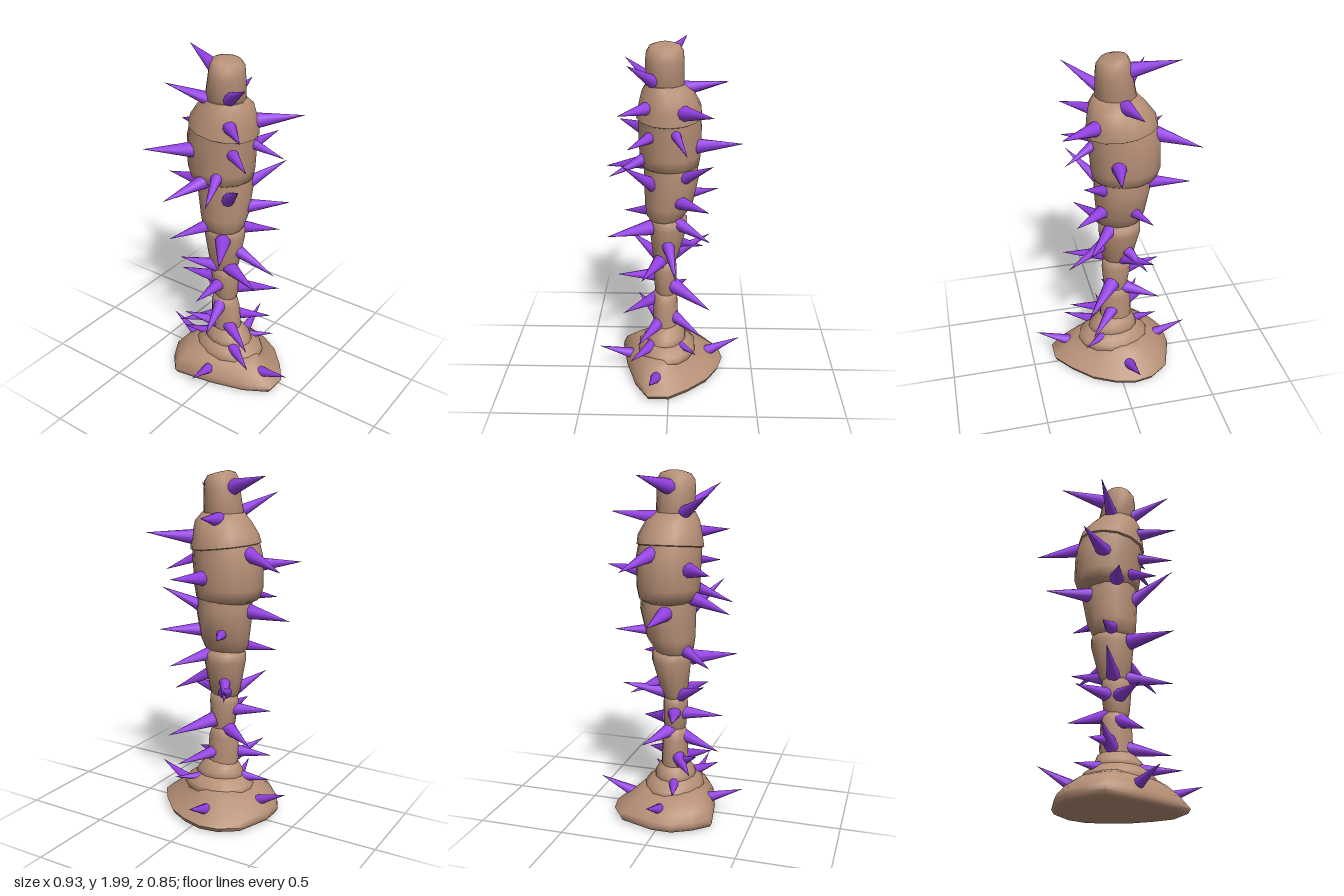
import * as THREE from 'three';
import { toCreasedNormals } from 'three/addons/utils/BufferGeometryUtils.js';

const bark = new THREE.MeshStandardMaterial({ color: 0xb68f76 });
const purple = new THREE.MeshStandardMaterial({ color: 0x9440e4 });
const SIDES = 14;

// Ring of points: [y, xMin, xMax, zMin, zMax, tilt along x]
function ellipse([y, x0, x1, z0, z1, tilt = 0]) {
  return Array.from({ length: SIDES }, (_, i) => {
    const a = (i / SIDES) * Math.PI * 2;
    const c = Math.cos(a), s = Math.sin(a);
    return [(x0 + x1) / 2 + c * (x1 - x0) / 2, y + tilt * c, (z0 + z1) / 2 + s * (z1 - z0) / 2];
  });
}

// Closed loft through rings running upwards
function loft(rings, crease) {
  const n = rings[0].length, pos = rings.flat(2), idx = [];
  for (let r = 0; r < rings.length - 1; r++) {
    for (let i = 0; i < n; i++) {
      const a = r * n + i, b = r * n + (i + 1) % n;
      idx.push(a, a + n, b, b, a + n, b + n);
    }
  }
  const cap = (start, up) => {
    const c = pos.length / 3, mid = [0, 0, 0];
    for (let i = 0; i < n; i++) for (let k = 0; k < 3; k++) mid[k] += pos[(start + i) * 3 + k] / n;
    pos.push(...mid);
    for (let i = 0; i < n; i++) {
      const a = start + i, b = start + (i + 1) % n;
      idx.push(c, ...(up ? [b, a] : [a, b]));
    }
  };
  cap(0, false);
  cap((rings.length - 1) * n, true);
  const g = new THREE.BufferGeometry();
  g.setAttribute('position', new THREE.Float32BufferAttribute(pos, 3));
  g.setIndex(idx);
  return toCreasedNormals(g, crease);
}

// Stacked trunk segments, lowest first
const segments = {
  collar: [[0.12, -0.2, 0.19, -0.13, 0.18], [0.165, -0.22, 0.215, -0.155, 0.19], [0.195, -0.21, 0.2, -0.15, 0.185], [0.22, -0.175, 0.165, -0.12, 0.165], [0.25, -0.14, 0.12, -0.08, 0.13]],
  neckRing: [[0.21, -0.14, 0.13, -0.08, 0.13], [0.235, -0.155, 0.145, -0.095, 0.145], [0.265, -0.145, 0.13, -0.09, 0.135], [0.3, -0.13, 0.1, -0.07, 0.11], [0.325, -0.1, 0.07, -0.05, 0.09]],
  trunkLowest: [[0.27, -0.11, 0.075, -0.055, 0.1], [0.34, -0.12, 0.072, -0.05, 0.1], [0.47, -0.115, 0.062, -0.045, 0.1], [0.52, -0.105, 0.045, -0.04, 0.095], [0.545, -0.08, 0.02, -0.01, 0.07]],
  trunkLower: [[0.52, -0.08, 0.04, -0.03, 0.08], [0.55, -0.095, 0.05, -0.038, 0.09], [0.68, -0.115, 0.06, -0.04, 0.1], [0.73, -0.11, 0.055, -0.035, 0.095], [0.75, -0.08, 0.02, -0.01, 0.07]],
  trunkMiddle: [[0.725, -0.11, 0.04, -0.03, 0.09], [0.75, -0.125, 0.055, -0.045, 0.1], [0.94, -0.165, 0.08, -0.1, 0.12], [0.99, -0.165, 0.08, -0.1, 0.12], [1.02, -0.13, 0.05, -0.06, 0.09]],
  trunkUpper: [[0.98, -0.14, 0.06, -0.06, 0.11], [1.01, -0.17, 0.085, -0.08, 0.135], [1.08, -0.185, 0.095, -0.13, 0.145], [1.24, -0.21, 0.11, -0.165, 0.15], [1.31, -0.2, 0.105, -0.16, 0.15]],
  head: [[1.285, -0.2, 0.08, -0.13, 0.13], [1.31, -0.25, 0.115, -0.165, 0.165], [1.37, -0.27, 0.125, -0.175, 0.175], [1.53, -0.265, 0.135, -0.18, 0.18, -0.01], [1.6, -0.24, 0.14, -0.17, 0.18, -0.02]],
  shoulder: [[1.58, -0.22, 0.125, -0.155, 0.165, -0.02], [1.595, -0.25, 0.15, -0.18, 0.19, -0.025], [1.65, -0.235, 0.145, -0.175, 0.18, -0.015], [1.73, -0.185, 0.13, -0.135, 0.16], [1.775, -0.14, 0.1, -0.08, 0.135]],
  crown: [[1.74, -0.12, 0.07, -0.07, 0.11], [1.78, -0.135, 0.09, -0.08, 0.13], [1.9, -0.11, 0.088, -0.08, 0.135], [1.95, -0.1, 0.083, -0.077, 0.13, -0.008], [1.98, -0.085, 0.065, -0.06, 0.11, -0.01], [1.99, -0.05, 0.03, -0.025, 0.075, -0.01]],
};

// Irregular foot outline, [x, z], and levels, [y, scale, x shift, z shift]
const footOutline = [[0.37, 0], [0.37, 0.12], [0.23, 0.2], [0.02, 0.26], [-0.215, 0.3], [-0.295, 0.21], [-0.355, 0.1],
  [-0.355, -0.02], [-0.285, -0.225], [-0.18, -0.3], [-0.07, -0.32], [0.05, -0.29], [0.175, -0.225], [0.29, -0.11]];
const footLevels = [[0.01, 0.9, 0, 0], [0.02, 0.96, 0, 0], [0.045, 1, 0, 0], [0.07, 0.95, -0.01, 0.01],
  [0.115, 0.82, -0.02, 0.03], [0.155, 0.68, -0.015, 0.03], [0.185, 0.54, 0, 0.02]];

// Spikes: [tip x, tip y, tip z, root y]
const crownSpikes = [
  [-0.345, 1.985, -0.09, 1.91], [-0.24, 1.88, 0.26, 1.75], [0.235, 1.92, 0.215, 1.77], [-0.09, 1.775, -0.325, 1.74],
  [0.245, 1.66, 0.27, 1.66], [0.315, 1.67, -0.235, 1.64],
];
const headSpikes = [
  [-0.465, 1.5, -0.147, 1.57], [-0.37, 1.49, 0.31, 1.48], [0.045, 1.46, -0.405, 1.43], [0.28, 1.45, -0.1, 1.57],
  [0.25, 1.48, 0.22, 1.51], [0.222, 1.38, 0.25, 1.19], [0.21, 1.38, -0.24, 1.23], [0.07, 1.27, 0.34, 1.39],
  [-0.185, 1.255, 0.378, 1.32], [-0.455, 1.215, -0.005, 1.24],
];
const trunkSpikes = [
  [0.25, 1.13, -0.22, 1.12], [-0.165, 1.13, -0.285, 1.12], [-0.235, 0.96, 0.28, 1.03], [0.165, 0.95, 0.35, 0.95],
  [0.18, 0.925, -0.23, 0.99], [0.27, 0.73, 0.15, 0.75], [0.27, 0.73, -0.04, 0.88], [-0.19, 0.83, -0.235, 0.75],
  [-0.16, 0.76, -0.2, 0.85], [-0.19, 0.84, 0.24, 0.73], [-0.305, 0.65, 0.09, 0.64], [-0.03, 0.63, 0.31, 0.63],
  [0.19, 0.51, -0.235, 0.58], [-0.265, 0.49, -0.1, 0.53], [0.01, 0.39, 0.28, 0.5], [-0.2, 0.43, 0.2, 0.32],
  [-0.26, 0.335, 0.18, 0.38], [0.235, 0.3, 0.18, 0.35], [0.16, 0.32, -0.19, 0.39],
];
const footSpikes = [
  [-0.3, 0.22, 0.09, 0.23], [0.27, 0.215, 0.22, 0.22], [0.2, 0.22, -0.16, 0.22],
  [-0.46, 0.205, -0.01, 0.08], [0.465, 0.18, 0.105, 0.08], [0.02, 0.17, 0.425, 0.08], [-0.07, 0.19, -0.425, 0.07],
];

// Cone pointing outwards, rooted inside the trunk
function makeSpike([x, y, z, rootY]) {
  const tip = new THREE.Vector3(x, y, z);
  const dir = new THREE.Vector3(x + 0.035, 0, z - 0.028);
  dir.setLength(Math.min(0.28, dir.length() - 0.02));
  dir.y = y - rootY;
  const length = dir.length();
  dir.normalize();
  const cone = new THREE.Mesh(new THREE.ConeGeometry(0.046, length, 10), purple);
  cone.quaternion.setFromUnitVectors(new THREE.Vector3(0, 1, 0), dir);
  cone.position.copy(tip).addScaledVector(dir, -length / 2);
  cone.name = 'spike';
  return cone;
}

export function createModel() {
  const group = new THREE.Group();
  group.name = 'spikedTrunk';
  const add = (name, geometry) => {
    const mesh = new THREE.Mesh(geometry, bark);
    mesh.name = name;
    group.add(mesh);
  };

  // Spreading foot
  const foot = footLevels.map(([y, s, dx, dz]) => footOutline.map(([x, z]) => [x * s + dx, y, z * s + dz]));
  add('foot', loft(foot, 1.1));

  // Trunk
  for (const [name, rings] of Object.entries(segments)) add(name, loft(rings.map(ellipse), 1));

  // Spikes
  for (const [name, list] of Object.entries({ crownSpikes, headSpikes, trunkSpikes, footSpikes })) {
    const set = new THREE.Group();
    set.name = name;
    list.forEach((s) => set.add(makeSpike(s)));
    group.add(set);
  }
  return group;
}
